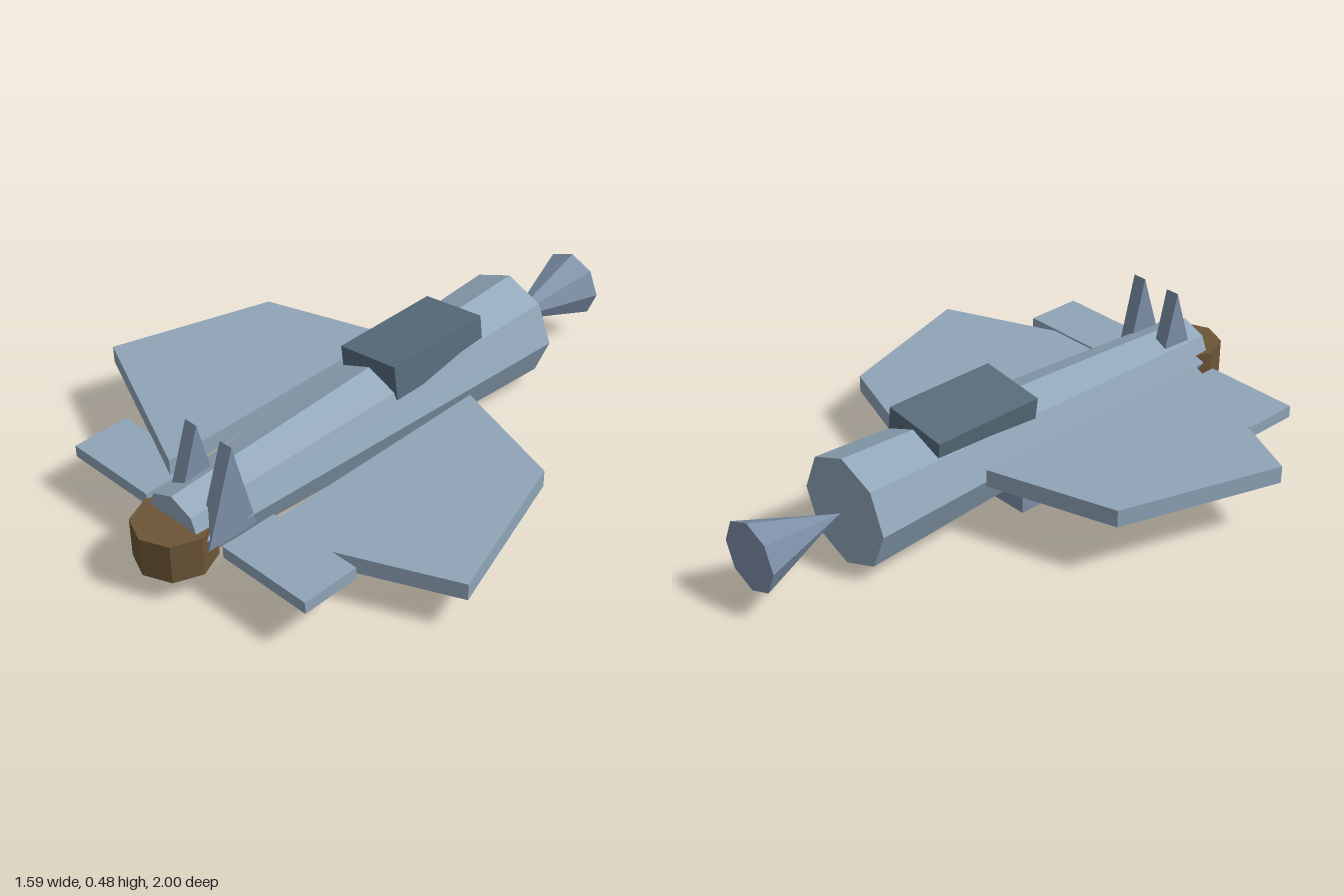
import * as THREE from 'three';

const paint = (color) => new THREE.MeshStandardMaterial({ color, flatShading: true });

export function createModel() {
  const model = new THREE.Group();
  model.name = 'jet';
  const hull = paint(0x8fa5b8);
  const trim = paint(0x7c8ea6);
  const glass = paint(0x566b7a);
  const bronze = paint(0x6b5536);

  function add(name, geometry, material, x = 0, y = 0, z = 0) {
    const mesh = new THREE.Mesh(geometry, material);
    mesh.name = name;
    mesh.position.set(x, y, z);
    model.add(mesh);
    return mesh;
  }
  const plate = (points, depth) => new THREE.ExtrudeGeometry(
    new THREE.Shape(points.map(([x, y]) => new THREE.Vector2(x, y))),
    { depth, bevelEnabled: false });

  // Tapered octagonal fuselage along z
  add('fuselage', new THREE.CylinderGeometry(0.118, 0.19, 1.52, 8).rotateX(Math.PI / 2), hull, 0, 0.195, 0.11);

  // Cone behind the wide end, its tip toward the fuselage
  add('tailCone', new THREE.ConeGeometry(0.12, 0.335, 8).rotateX(Math.PI / 2), trim, 0, 0.195, -0.8325);

  // Upright octagonal drum at the front
  add('noseDrum', new THREE.CylinderGeometry(0.13, 0.13, 0.138, 8), bronze, 0, 0.16, 0.87);

  // Slightly tilted canopy
  add('canopy', new THREE.BoxGeometry(0.238, 0.12, 0.41), glass, 0, 0.33, -0.167).rotation.z = 0.125;

  // Wings sit at different heights on each side
  const wing = [[0.19, -0.24], [0.62, -0.1], [0.793, 0.45], [0.19, 0.72]];
  for (const [side, top] of [[1, 0.193], [-1, 0.257]]) {
    const label = side > 0 ? 'left' : 'right';
    const outline = wing.map(([x, z]) => [x * side, z]);
    add(label + 'Wing', plate(outline, 0.06).rotateX(Math.PI / 2), hull, 0, top, 0);
    add(label + 'Stabilizer', new THREE.BoxGeometry(0.345, 0.042, 0.205), hull, side * 0.345, 0.179, 0.728);
    add(label + 'Intake', new THREE.BoxGeometry(0.13, 0.066, 0.135), trim, side * 0.14, 0.072, -0.032);
  }

  // Pair of triangular upright fins, offset toward the left
  const fin = [[0.845, 0.16], [0.735, 0.485], [0.655, 0.16]];
  for (const [name, x] of [['rightFin', -0.026], ['leftFin', 0.126]]) {
    add(name, plate(fin, 0.05).rotateY(-Math.PI / 2), trim, x, 0, 0);
  }
  return model;
}
